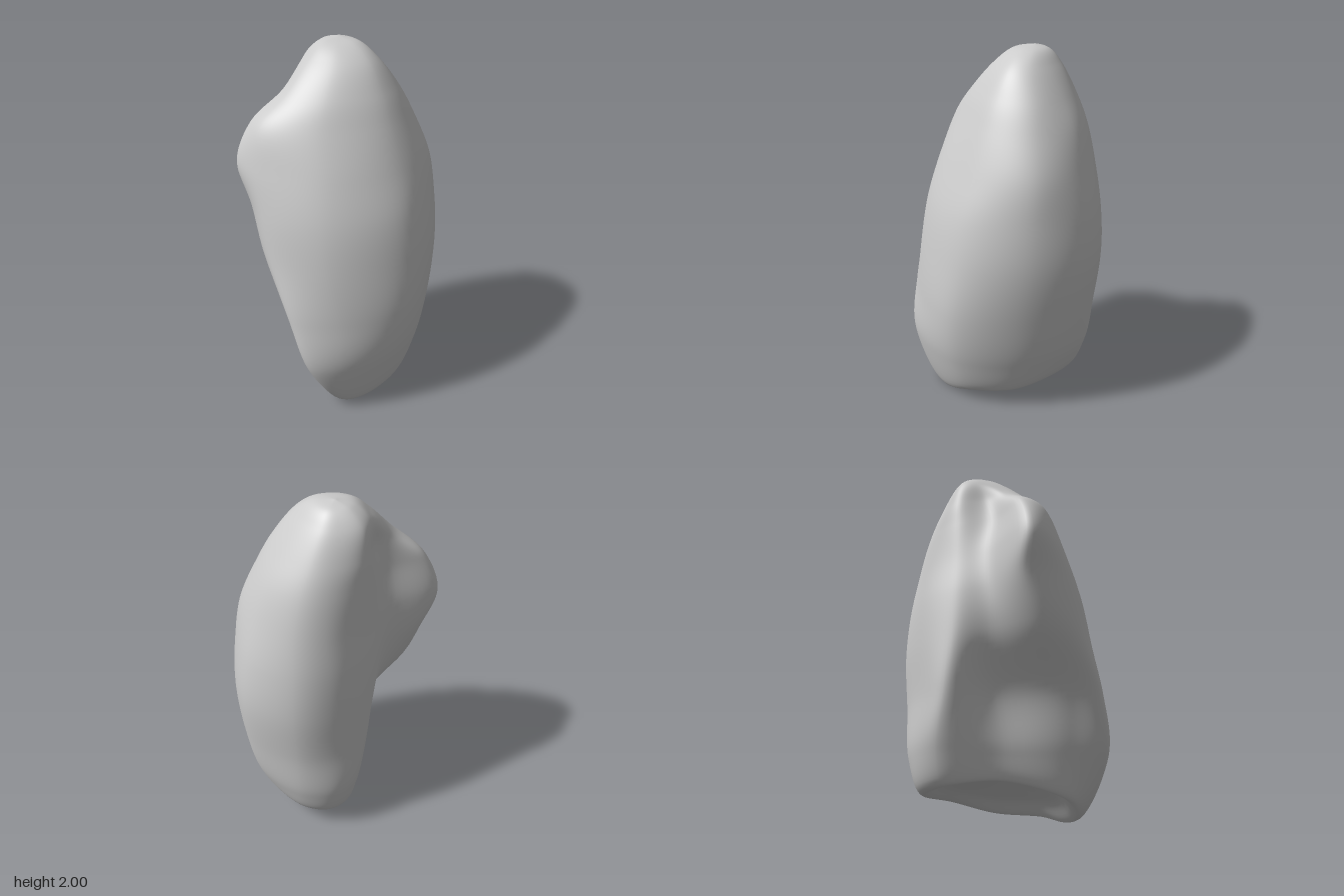
import * as THREE from 'three';
import { mergeVertices } from 'three/addons/utils/BufferGeometryUtils.js';

const AROUND = 100, DOWN = 120;

// Cross-section as x,z pairs, running from the front inner edge round the outer side and back.
// y is one height, or one height per point.
function section(y, xz) {
  const points = [];
  for (let i = 0; i < xz.length / 2; i++) {
    points.push(new THREE.Vector3(xz[2 * i], Array.isArray(y) ? y[i] : y, xz[2 * i + 1]));
  }
  // Round out the inner back corner with one more point, bulged outward
  const [back, inner] = points.slice(5, 7);
  const bulge = new THREE.Vector3(back.z - inner.z, 0, inner.x - back.x);
  points.splice(6, 0, back.clone().lerp(inner, 0.6).addScaledVector(bulge, 0.17));
  return points;
}

// Copy of a section drawn toward a centre point
function shrink(points, centre, horizontal, vertical) {
  return points.map((p) => new THREE.Vector3(
    THREE.MathUtils.lerp(centre.x, p.x, horizontal),
    THREE.MathUtils.lerp(centre.y, p.y, vertical),
    THREE.MathUtils.lerp(centre.z, p.z, horizontal)));
}

// Smooth closed skin through a stack of sections, listed from top to bottom
function loft(sections) {
  const rings = sections.map((s) => {
    const curve = new THREE.CatmullRomCurve3(s, true);
    return Array.from({ length: AROUND }, (_, i) => curve.getPoint(i / AROUND));
  });
  const columns = rings[0].map((_, c) => new THREE.CatmullRomCurve3(rings.map((r) => r[c])));
  const positions = [], index = [];
  for (let r = 0; r <= DOWN; r++) {
    for (let c = 0; c < AROUND; c++) {
      positions.push(...columns[c].getPoint(r / DOWN).toArray());
      if (r === DOWN) continue;
      const a = r * AROUND + c, b = r * AROUND + (c + 1) % AROUND;
      if (r > 0) index.push(a, a + AROUND, b);
      if (r < DOWN - 1) index.push(b, a + AROUND, b + AROUND);
    }
  }
  let geometry = new THREE.BufferGeometry();
  geometry.setAttribute('position', new THREE.Float32BufferAttribute(positions, 3));
  geometry.setIndex(index);
  geometry = mergeVertices(geometry, 1e-5);
  geometry.computeVertexNormals();
  return geometry;
}

export function createModel() {
  const apex = new THREE.Vector3(-0.19, 2.0, -0.09);
  const dome = new THREE.Vector3(0, 0.22, 0);

  // Rounded tip
  const tip = section(1.9, [-0.29, 0.07, -0.2, 0.13, -0.06, 0.09, 0.05, -0.06, 0.02, -0.17,
    -0.09, -0.23, -0.31, -0.17, -0.36, -0.08, -0.335, 0.01]);

  // Lower rim, with its lowest point at the front outer corner
  const rim = section([0.07, 0.01, 0.01, 0.07, 0.1, 0.14, 0.11, 0.12, 0.155],
    [0.09, 0.34, 0.19, 0.32, 0.26, 0.22, 0.31, 0.04, 0.22, -0.2,
      0.02, -0.35, -0.34, -0.27, -0.36, -0.13, -0.16, 0.09]);

  const sections = [
    shrink(tip, apex, 0, 0),
    shrink(tip, apex, 0.55, 0.25),
    tip,
    // Upper part with the groove behind the front lobe
    section(1.75, [-0.32, 0.21, -0.22, 0.28, -0.01, 0.2, 0.15, -0.04, 0.11, -0.24,
      -0.06, -0.33, -0.34, -0.23, -0.395, -0.08, -0.325, 0.07]),
    section(1.6, [-0.41, 0.36, -0.28, 0.42, 0.02, 0.28, 0.22, -0.02, 0.18, -0.28,
      -0.03, -0.41, -0.35, -0.28, -0.405, -0.08, -0.34, 0.12]),
    // Front lobe at its widest
    section(1.38, [-0.46, 0.435, -0.26, 0.49, 0.1, 0.34, 0.31, 0, 0.26, -0.33,
      0, -0.48, -0.37, -0.31, -0.415, -0.08, -0.375, 0.12]),
    section(1.15, [-0.41, 0.38, -0.2, 0.52, 0.15, 0.4, 0.39, 0.03, 0.3, -0.34,
      0.01, -0.535, -0.4, -0.31, -0.435, -0.07, -0.38, 0.13]),
    // Notch cutting into the inner front edge
    section(0.9, [-0.29, 0.42, -0.12, 0.54, 0.2, 0.42, 0.44, 0.03, 0.32, -0.34,
      0.02, -0.555, -0.41, -0.31, -0.44, -0.06, -0.34, 0.12]),
    section(0.6, [-0.08, 0.42, 0.02, 0.56, 0.27, 0.4, 0.455, 0.06, 0.32, -0.3,
      0.03, -0.52, -0.41, -0.29, -0.44, -0.08, -0.22, 0.08]),
    section(0.3, [0.01, 0.38, 0.13, 0.53, 0.28, 0.4, 0.41, 0.07, 0.28, -0.26,
      0.03, -0.45, -0.41, -0.29, -0.425, -0.13, -0.18, 0.11]),
    rim,
    // Hollow underside
    shrink(rim, dome, 0.7, 0.5),
    shrink(rim, dome, 0, 0),
  ];

  const body = new THREE.Mesh(loft(sections), new THREE.MeshStandardMaterial({ color: 0xcccccc }));
  body.name = 'lungBody';

  const group = new THREE.Group();
  group.name = 'lung';
  group.add(body);
  return group;
}
